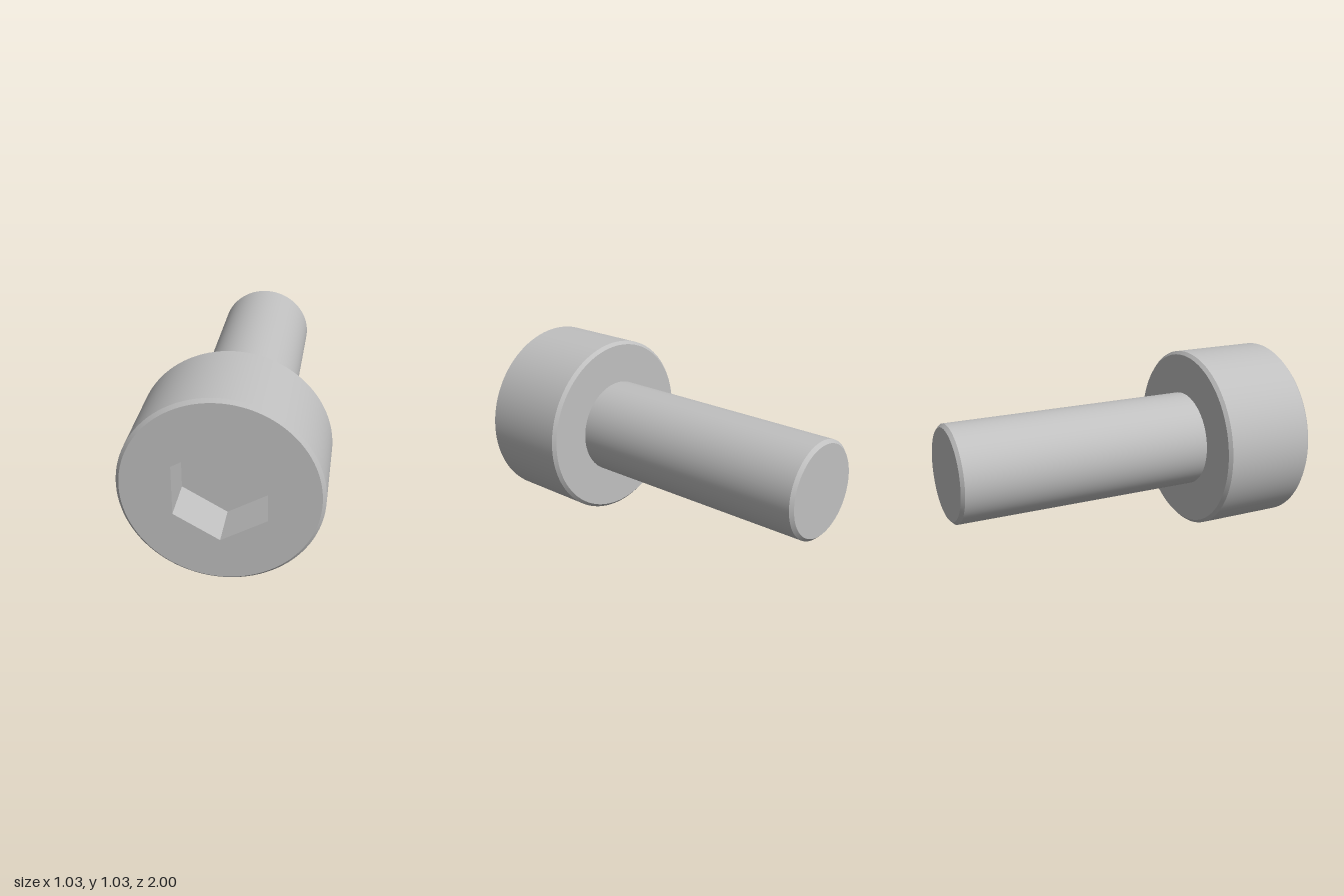
import * as THREE from 'three';
import { mergeGeometries } from 'three/addons/utils/BufferGeometryUtils.js';

const SEGMENTS = 96;
const HEAD_R = 0.516, SHAFT_R = 0.2725, HEX_R = 0.2725;
const HEAD_BACK = 0.457, HEX_FLOOR = 0.755, BEVEL = 0.018;

// Revolve a profile of [radius, z] points around z, with a sharp edge at every point
function revolve(profile, segments = SEGMENTS) {
  const bands = [];
  for (let i = 0; i < profile.length - 1; i++) {
    const pts = [profile[i], profile[i + 1]].map(([r, z]) => new THREE.Vector2(r, z));
    bands.push(new THREE.LatheGeometry(pts, segments));
  }
  return mergeGeometries(bands).rotateX(Math.PI / 2);
}

export function createModel() {
  const steel = new THREE.MeshStandardMaterial({ color: 0xc0c0c0 });
  steel.name = 'steel';
  const bolt = new THREE.Group();
  bolt.name = 'socketHeadBolt';

  const add = (name, geometry) => {
    const mesh = new THREE.Mesh(geometry, steel);
    mesh.name = name;
    bolt.add(mesh);
  };

  // Shaft with a bevelled tip
  add('shaft', revolve([
    [0, -1], [SHAFT_R - BEVEL, -1], [SHAFT_R, -1 + BEVEL], [SHAFT_R, HEAD_BACK],
  ]));

  // Head: underside, bevels and side wall
  add('head', revolve([
    [SHAFT_R, HEAD_BACK], [HEAD_R - BEVEL, HEAD_BACK], [HEAD_R, HEAD_BACK + BEVEL],
    [HEAD_R, 1 - BEVEL], [HEAD_R - BEVEL, 1],
  ]));

  // Front face of the head with the hexagonal opening
  const face = new THREE.Shape().absarc(0, 0, HEAD_R - BEVEL, 0, Math.PI * 2);
  const hexagon = [];
  for (let i = 0; i < 6; i++) {
    const a = Math.PI / 2 - i * Math.PI / 3;
    hexagon.push(new THREE.Vector2(HEX_R * Math.cos(a), HEX_R * Math.sin(a)));
  }
  face.holes.push(new THREE.Path(hexagon));
  add('headFace', new THREE.ShapeGeometry(face, SEGMENTS).translate(0, 0, 1));

  // Hexagonal socket: flat walls and floor
  const socket = revolve([[HEX_R, 1], [HEX_R, HEX_FLOOR], [0, HEX_FLOOR]], 6).toNonIndexed();
  socket.computeVertexNormals();
  add('hexSocket', socket);

  // Rest the head on the ground
  bolt.position.y = HEAD_R;
  const model = new THREE.Group();
  model.name = 'bolt';
  model.add(bolt);
  return model;
}
